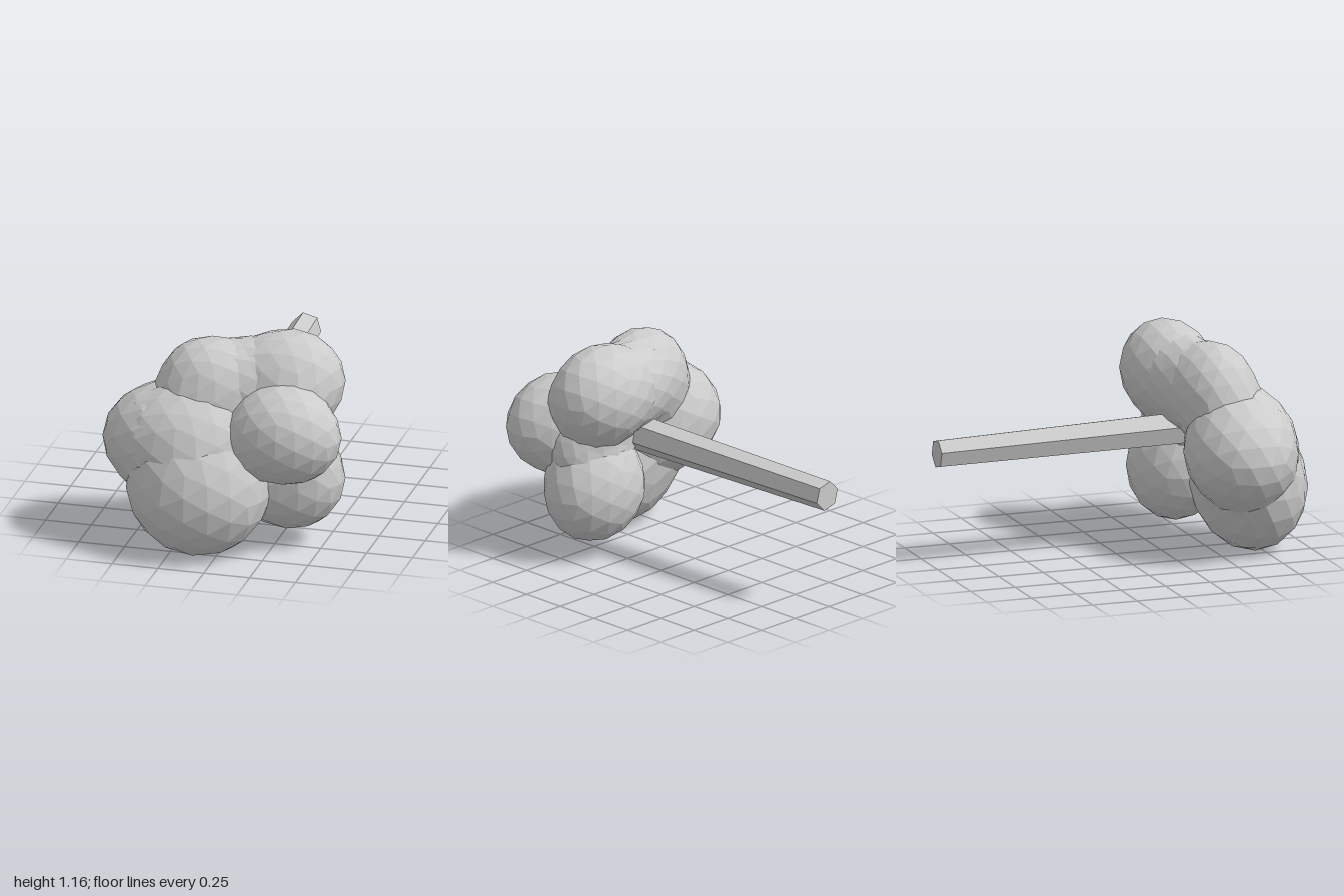
import * as THREE from 'three';

const material = new THREE.MeshStandardMaterial({ color: 0xcccccc, flatShading: true });

// Foliage clumps: name, centre, radii
const clumps = [
  ['upperLeftClump', [0.305, 0.9, 0.39], [0.293, 0.265, 0.238]],
  ['upperRightClump', [-0.11, 0.86, 0.505], [0.265, 0.262, 0.22]],
  ['upperBridge', [0.08, 0.87, 0.43], [0.26, 0.23, 0.2]],
  ['frontLeftClump', [0.36, 0.69, 0.675], [0.295, 0.258, 0.223]],
  ['lowerLeftClump', [0.315, 0.365, 0.43], [0.293, 0.284, 0.237]],
  ['leftCore', [0.3, 0.61, 0.45], [0.25, 0.18, 0.15]],
  ['sideRightClump', [-0.33, 0.57, 0.57], [0.33, 0.288, 0.287]],
  ['lowerFrontClump', [-0.115, 0.338, 0.71], [0.37, 0.345, 0.293]],
  ['frontFill', [-0.19, 0.6, 0.65], [0.33, 0.28, 0.255]]
].map(([name, centre, radii]) => ({
  name, centre: new THREE.Vector3(...centre), radii: new THREE.Vector3(...radii)
}));

// Approximate signed distance to all clumps, softly blended where they meet
const BLEND = 0.032;
function field(point) {
  let sum = 0;
  for (const { centre, radii } of clumps) {
    const q = point.clone().sub(centre).divide(radii);
    const d = (q.length() - 1) * Math.min(radii.x, radii.y, radii.z);
    sum += Math.exp(-d / BLEND);
  }
  return -BLEND * Math.log(sum);
}

// Faceted ellipsoid whose points swell a little toward its neighbours
function foliage({ name, centre, radii }) {
  const geometry = new THREE.IcosahedronGeometry(1, 2);
  const p = geometry.attributes.position;
  const v = new THREE.Vector3();
  for (let i = 0; i < p.count; i++) {
    v.fromBufferAttribute(p, i);
    const normal = v.clone().divide(radii).normalize();
    v.multiply(radii).add(centre);
    v.addScaledVector(normal, Math.min(-field(v), 0.04));
    p.setXYZ(i, v.x, v.y, v.z);
  }
  geometry.computeVertexNormals();
  const mesh = new THREE.Mesh(geometry, material);
  mesh.name = name;
  return mesh;
}

// Six-sided trunk lying along z, tapering and leaning slightly
function trunk() {
  const back = -1, front = 0.5, length = front - back;
  const geometry = new THREE.CylinderGeometry(0.08, 0.096, length, 6, 1, false, Math.PI / 4);
  geometry.rotateX(-Math.PI / 2);
  geometry.translate(0, 0, (back + front) / 2);
  const p = geometry.attributes.position;
  for (let i = 0; i < p.count; i++) {
    const t = (p.getZ(i) - back) / length;
    p.setX(i, p.getX(i) + 0.012 + 0.06 * t);
    p.setY(i, p.getY(i) + 0.624 + 0.01 * t);
  }
  geometry.computeVertexNormals();
  const mesh = new THREE.Mesh(geometry, material);
  mesh.name = 'trunk';
  return mesh;
}

export function createModel() {
  const model = new THREE.Group();
  model.name = 'tree';

  const crown = new THREE.Group();
  crown.name = 'crown';
  crown.add(...clumps.map(foliage));

  model.add(crown, trunk());
  return model;
}
